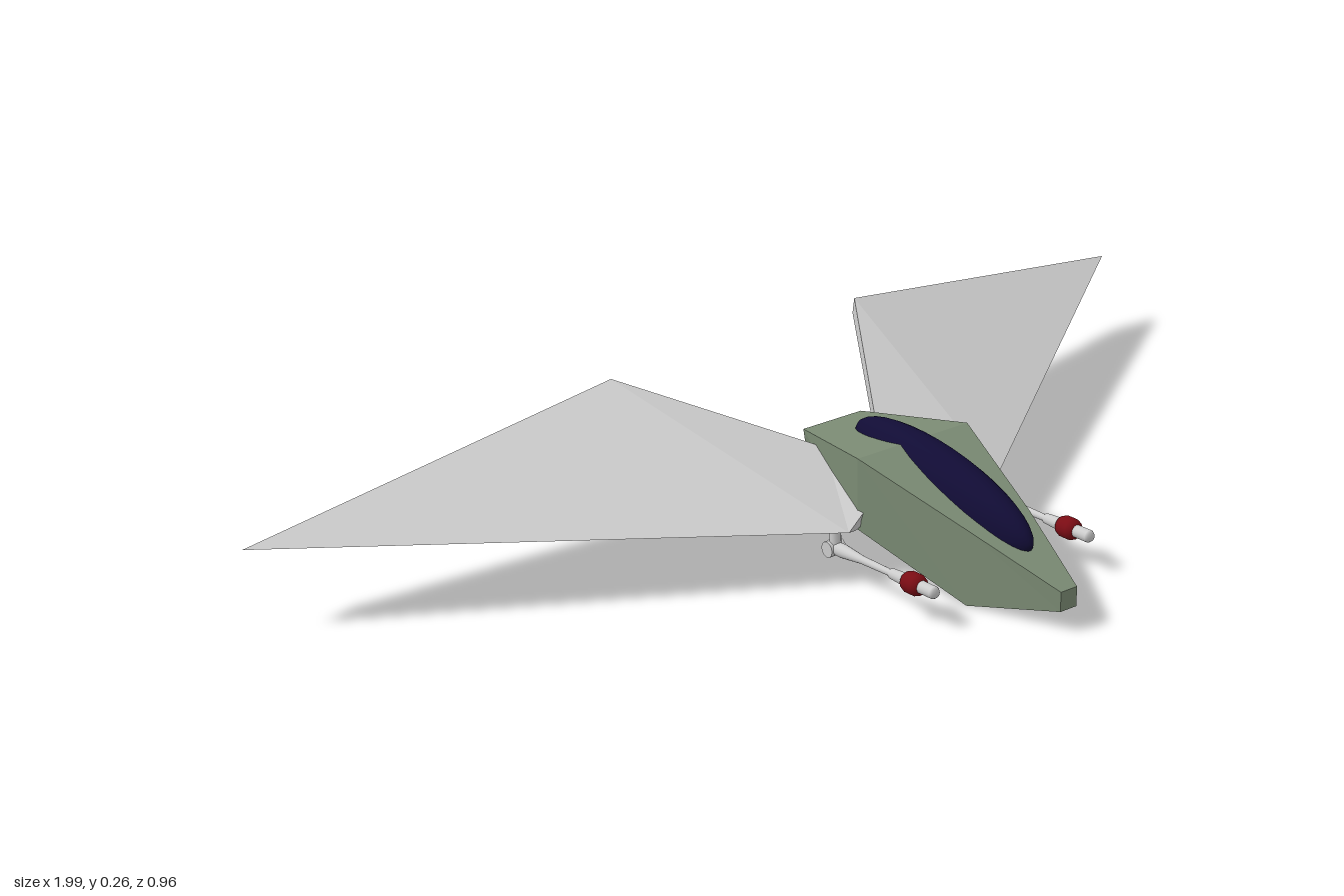
import * as THREE from 'three';

const grey = new THREE.MeshStandardMaterial({ color: 0xcccccc });
const greyFlat = new THREE.MeshStandardMaterial({ color: 0xcccccc, flatShading: true });
const green = new THREE.MeshStandardMaterial({ color: 0x7b8b74, flatShading: true });
const navy = new THREE.MeshStandardMaterial({ color: 0x110c35 });
const red = new THREE.MeshStandardMaterial({ color: 0x7a0c14 });

// Closed solid through rings of equal length, each counter-clockwise seen from the last ring's end
function loft(rings) {
  const n = rings[0].length;
  const pos = [];
  const tri = (...pts) => pts.forEach((p) => pos.push(...p));
  for (let i = 0; i + 1 < rings.length; i++) {
    for (let j = 0; j < n; j++) {
      const k = (j + 1) % n;
      const a = rings[i][j], b = rings[i][k], c = rings[i + 1][k], d = rings[i + 1][j];
      tri(a, b, c);
      tri(a, c, d);
    }
  }
  const first = rings[0], last = rings[rings.length - 1];
  for (let j = 1; j + 1 < n; j++) {
    tri(first[0], first[j + 1], first[j]);
    tri(last[0], last[j], last[j + 1]);
  }
  const g = new THREE.BufferGeometry();
  g.setAttribute('position', new THREE.Float32BufferAttribute(pos, 3));
  g.computeVertexNormals();
  return g;
}

function add(parent, name, geometry, material) {
  const mesh = new THREE.Mesh(geometry, material);
  mesh.name = name;
  parent.add(mesh);
  return mesh;
}

// Four-cornered fuselage section at z
const section = (z, bx0, bx1, by, tx0, tx1, ty) =>
  [[bx0, by, z], [bx1, by, z], [tx1, ty, z], [tx0, ty, z]];

// Swept wing plate: leading root, tip, trailing corner and inner root, with an undercut lower face
function wing(side, lead, tip, tipLow, rear, root) {
  const inner = [side * 0.07 + 0.01, 0.125, 0.09];
  const shift = (p, x, y, z) => [p[0] + side * x, p[1] + y, p[2] + z];
  let top = [lead, tip, rear, root, inner];
  let low = [
    shift(lead, -0.03, -0.012, -0.02), tipLow, shift(rear, 0, -0.03, -0.005),
    shift(root, 0, -0.035, 0), shift(inner, 0, -0.035, -0.005),
  ];
  if (side < 0) [top, low] = [top, low].map(([a, ...rest]) => [a, ...rest.reverse()]);
  return loft([low, top]);
}

// Slim gun, built along +z from its mount
function gun(name, x) {
  const g = new THREE.Group();
  g.name = name;
  const lathe = (pts) =>
    new THREE.LatheGeometry(pts.map(([r, z]) => new THREE.Vector2(r, z)), 16).rotateX(Math.PI / 2);
  add(g, 'barrel', lathe([
    [0, 0.07], [0.011, 0.07], [0.012, 0.105], [0.007, 0.155], [0.006, 0.225],
    [0.009, 0.23], [0.011, 0.265], [0.011, 0.335], [0.008, 0.34], [0, 0.34],
  ]), grey);
  add(g, 'collar', lathe([
    [0.01, 0.265], [0.016, 0.268], [0.019, 0.276], [0.019, 0.294], [0.016, 0.302], [0.01, 0.305],
  ]), red);
  // Mount block and short strut up to the wing
  add(g, 'mount', new THREE.CylinderGeometry(0.014, 0.014, 0.03, 12).rotateZ(Math.PI / 2), grey)
    .position.set(0, -0.001, 0.08);
  add(g, 'strut', new THREE.CylinderGeometry(0.01, 0.01, 0.04, 12), grey).position.set(0, 0.018, 0.085);
  g.position.set(x, 0.055, 0);
  g.rotation.x = -0.035;
  return g;
}

export function createModel() {
  const model = new THREE.Group();
  model.name = 'glider';

  // Faceted body from tail to nose
  add(model, 'fuselage', loft([
    section(-0.122, -0.02, 0.075, 0.068, -0.037, 0.09, 0.178),
    section(0.093, -0.095, 0.165, 0.082, -0.095, 0.145, 0.21),
    section(0.305, -0.04, 0.115, 0.003, -0.038, 0.095, 0.137),
    section(0.477, 0.01, 0.045, 0.04, 0.01, 0.045, 0.075),
  ]), green);

  // Canopy: stretched sphere sheared down towards the nose
  const canopy = new THREE.SphereGeometry(1, 28, 20).rotateX(Math.PI / 2).scale(0.048, 0.068, 0.22);
  const p = canopy.attributes.position;
  for (let i = 0; i < p.count; i++) p.setY(i, p.getY(i) - 0.15 * p.getZ(i));
  canopy.computeVertexNormals();
  add(model, 'canopy', canopy, navy).position.set(0.028, 0.152, 0.165);

  // Wings, the left one swept further back
  add(model, 'leftWing', wing(1,
    [0.205, 0.1, 0.105], [0.995, 0.152, -0.475], [0.9, 0.135, -0.48],
    [0.285, 0.265, -0.375], [0.075, 0.168, -0.06]), greyFlat);
  add(model, 'rightWing', wing(-1,
    [-0.14, 0.1, 0.125], [-0.998, 0.152, -0.355], [-0.915, 0.135, -0.365],
    [-0.28, 0.265, -0.34], [-0.04, 0.165, -0.06]), greyFlat);

  model.add(gun('leftGun', 0.205), gun('rightGun', -0.136));
  return model;
}
